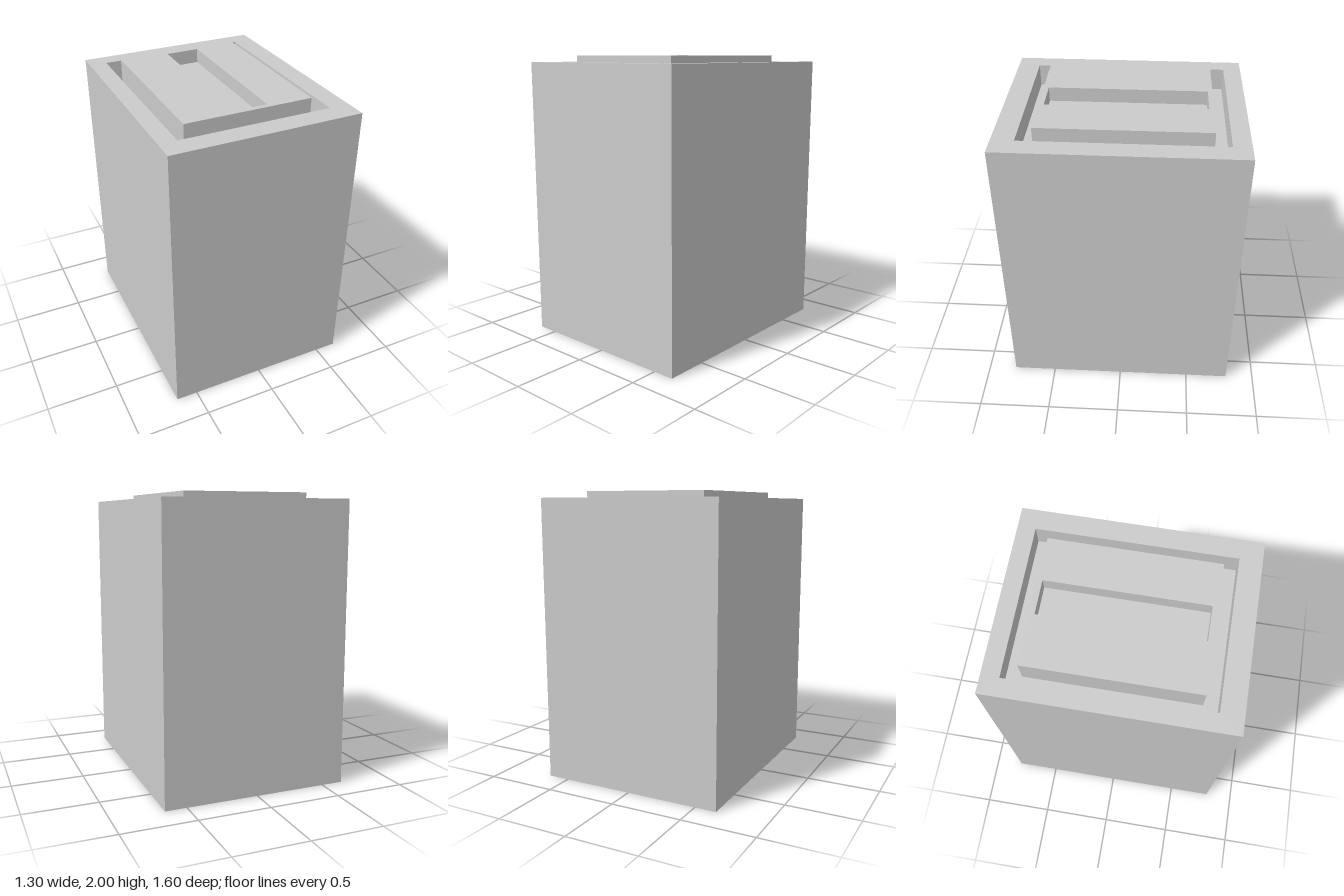
import * as THREE from 'three';

const material = new THREE.MeshStandardMaterial({ color: 0xcccccc, flatShading: true });

// Rectangular cross-section at height y
const rect = (x0, x1, z0, z1, y) => [[x0, y, z1], [x1, y, z1], [x1, y, z0], [x0, y, z0]];

// Skin successive rectangles with flat quads, optionally closing the ends
function stepped(name, rings, capStart, capEnd) {
  const pos = [];
  const quad = (a, b, c, d) => pos.push(...a, ...b, ...c, ...a, ...c, ...d);
  for (let r = 0; r + 1 < rings.length; r++) {
    const a = rings[r], b = rings[r + 1];
    for (let i = 0; i < 4; i++) {
      const j = (i + 1) % 4;
      quad(a[i], a[j], b[j], b[i]);
    }
  }
  if (capStart) quad(...[...rings[0]].reverse());
  if (capEnd) quad(...rings[rings.length - 1]);
  const geometry = new THREE.BufferGeometry();
  geometry.setAttribute('position', new THREE.Float32BufferAttribute(pos, 3));
  geometry.computeVertexNormals();
  const mesh = new THREE.Mesh(geometry, material);
  mesh.name = name;
  return mesh;
}

export function createModel() {
  const group = new THREE.Group();
  group.name = 'box';

  const rimY = 1.955, recessY = 1.8, topY = 2, slotY = 1.9;
  const outer = (y) => rect(-0.65, 0.65, -0.8, 0.8, y);
  const recess = (y) => rect(-0.53, 0.51, -0.68, 0.65, y);
  const block = (y) => rect(-0.45, 0.43, -0.58, 0.555, y);
  const slot = (y) => rect(-0.105, 0.13, -0.55, 0.52, y);

  // Casing: outer walls, rim, recess walls and recess floor around the block
  group.add(stepped('casing',
    [outer(0), outer(rimY), recess(rimY), recess(recessY), block(recessY)], true, false));

  // Raised block standing in the recess, with a long slot sunk into its top
  group.add(stepped('slottedBlock',
    [block(recessY), block(topY), slot(topY), slot(slotY)], false, true));

  return group;
}
